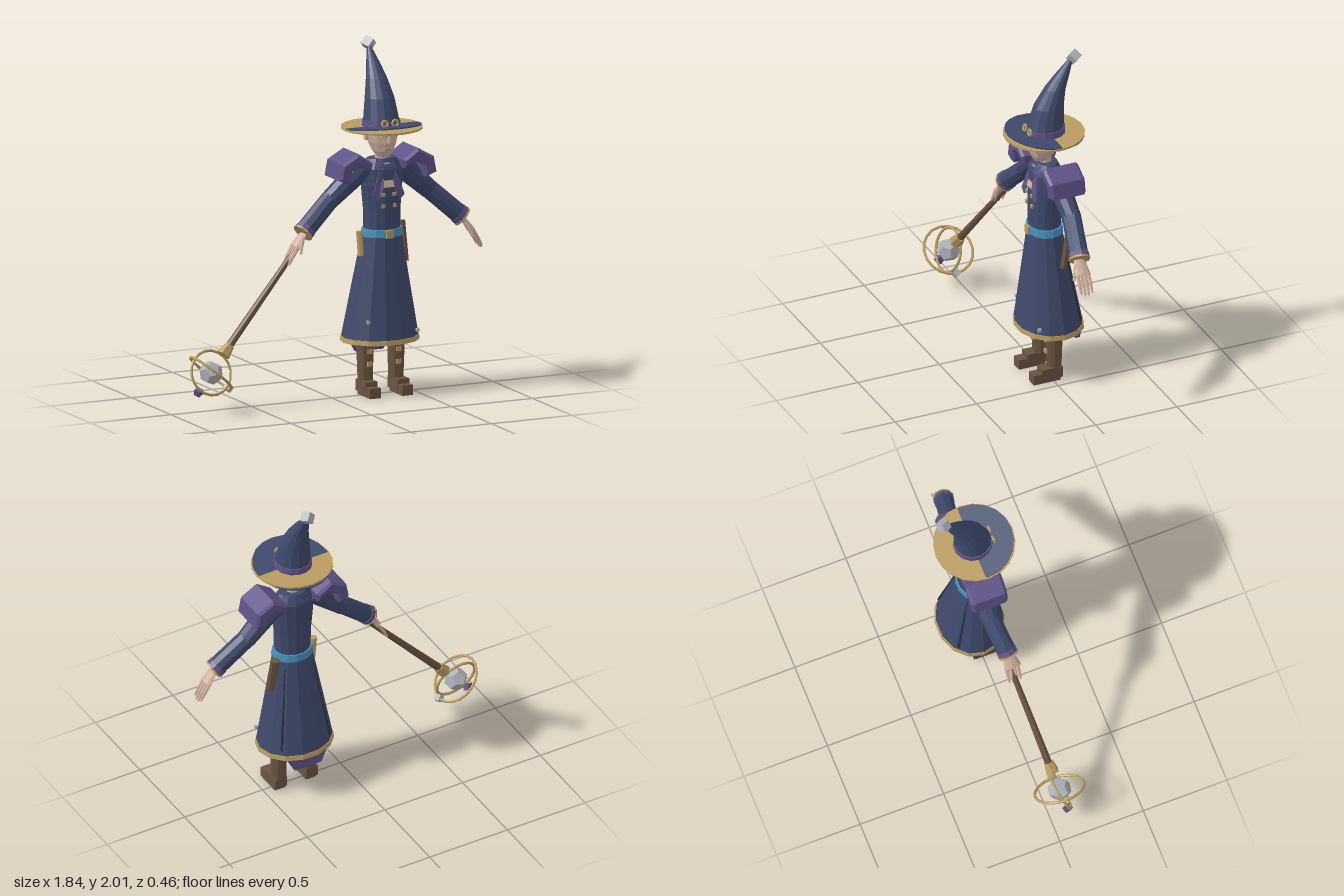
import * as THREE from 'three';

const mat = (name, color) => {
  const m = new THREE.MeshStandardMaterial({ color });
  m.name = name;
  return m;
};
const V = (p) => new THREE.Vector3(...p);

export function createModel() {
  const navy = mat('navy cloth', 0x3f4a6c), dark = mat('dark seam', 0x262b3f);
  const purple = mat('purple cloth', 0x5f5288), gold = mat('gold trim', 0xb99c60);
  const brown = mat('brown leather', 0x6b5442), skin = mat('skin', 0xd0b09f);
  const blue = mat('blue belt', 0x4690bd), grey = mat('grey crystal', 0xadb1b6);
  const white = mat('eye white', 0xdcdce0);

  const model = new THREE.Group();
  const body = new THREE.Group(), staff = new THREE.Group();
  body.name = 'figure';
  staff.name = 'staff';
  body.position.x = 0.31;
  model.add(body, staff);

  // Adds a flat-faceted mesh
  function add(name, geo, material, pos = [0, 0, 0], parent = body) {
    const g = geo.index ? geo.toNonIndexed() : geo;
    g.computeVertexNormals();
    const mesh = new THREE.Mesh(g, material);
    mesh.name = name;
    mesh.position.set(...pos);
    parent.add(mesh);
    return mesh;
  }
  const box = (name, size, pos, m, parent) => add(name, new THREE.BoxGeometry(...size), m, pos, parent);

  // Closed stack of ellipses, each given as [y, rx, rz, centreZ]
  function loft(sections, n = 14) {
    const p = [], idx = [], top = sections.length - 1;
    for (const [y, rx, rz, cz] of sections) {
      for (let i = 0; i < n; i++) {
        const a = ((i + 0.5) / n) * Math.PI * 2;
        p.push(rx * Math.sin(a), y, cz + rz * Math.cos(a));
      }
    }
    for (const s of [sections[0], sections[top]]) p.push(0, s[0], s[3]);
    const c = (top + 1) * n;
    for (let i = 0; i < n; i++) {
      const j = (i + 1) % n;
      for (let k = 0; k < top; k++) {
        const a = k * n + i, b = k * n + j;
        idx.push(a, b, b + n, a, b + n, a + n);
      }
      idx.push(c, j, i, c + 1, top * n + i, top * n + j);
    }
    const g = new THREE.BufferGeometry();
    g.setAttribute('position', new THREE.Float32BufferAttribute(p, 3));
    g.setIndex(idx);
    return g;
  }

  // Tapered cylinder from point a to point b
  function limb(name, a, b, ra, rb, m, sides = 10, flat = 1, parent = body) {
    const d = V(b).sub(V(a));
    const mesh = add(name, new THREE.CylinderGeometry(rb, ra, d.length(), sides), m, [0, 0, 0], parent);
    mesh.position.copy(V(a)).addScaledVector(d, 0.5);
    mesh.quaternion.setFromUnitVectors(new THREE.Vector3(0, 1, 0), d.normalize());
    mesh.scale.x = flat;
    return mesh;
  }

  // Extruded outline whose depth position follows a rule of height
  function panel(name, pts, depth, zAt, m, bevel = 0) {
    const g = new THREE.ExtrudeGeometry(new THREE.Shape(pts.map((q) => new THREE.Vector2(...q))), {
      depth, bevelEnabled: bevel > 0, bevelSize: bevel, bevelThickness: bevel, bevelOffset: -bevel, bevelSegments: 1,
    });
    const p = g.attributes.position;
    for (let i = 0; i < p.count; i++) p.setZ(i, p.getZ(i) + zAt(p.getY(i)));
    return add(name, g, m);
  }

  // Hat
  add('hatCone', loft([[1.525, 0.102, 0.108, -0.008], [1.565, 0.099, 0.105, -0.01], [1.685, 0.082, 0.086, -0.03],
    [1.79, 0.058, 0.06, -0.07], [1.86, 0.039, 0.042, -0.11], [1.945, 0.013, 0.015, -0.162]]), navy);
  add('hatBand', loft([[1.525, 0.108, 0.114, -0.008], [1.563, 0.105, 0.111, -0.01]]), purple);
  const tip = box('hatTipCube', [0.054, 0.054, 0.054], [0.005, 1.962, -0.182], grey);
  tip.rotation.set(0.35, 0.5, 0.7);
  add('brimRing', new THREE.CylinderGeometry(0.23, 0.23, 0.01, 20), gold, [0, 1.52, 0]);
  add('brimCloth', new THREE.CylinderGeometry(0.223, 0.223, 0.008, 20), navy, [0, 1.523, 0]).rotation.x = -0.125;

  // Head
  add('head', loft([[1.355, 0.034, 0.04, 0.02], [1.39, 0.06, 0.068, 0.012], [1.44, 0.082, 0.088, 0.002],
    [1.49, 0.09, 0.092, 0], [1.53, 0.088, 0.09, 0]], 12), skin);
  add('hair', loft([[1.455, 0.088, 0.072, -0.024], [1.525, 0.094, 0.08, -0.024]], 12), brown);
  add('neck', new THREE.CylinderGeometry(0.038, 0.042, 0.09, 10), skin, [0, 1.345, -0.005]);
  const nose = add('nose', new THREE.ConeGeometry(0.021, 0.05, 4), skin, [0, 1.472, 0.092]);
  nose.rotation.x = 0.35;
  box('mouth', [0.036, 0.005, 0.006], [0, 1.402, 0.077], brown);

  // Torso, skirt and belt
  add('torso', loft([[0.92, 0.105, 0.092, -0.003], [1.06, 0.108, 0.093, -0.003], [1.2, 0.122, 0.092, -0.005],
    [1.29, 0.126, 0.088, -0.008], [1.345, 0.085, 0.06, -0.01]]), navy);
  const chestZ = (y) => 0.084 - Math.max(0, y - 1.22) * 0.28;
  panel('chestSkin', [[-0.018, 1.325], [0.018, 1.325], [0.038, 1.19], [-0.038, 1.19]], 0.007, chestZ, skin);
  add('skirt', loft([[0.32, 0.224, 0.189, -0.027], [0.92, 0.115, 0.094, -0.003]]), navy);
  add('skirtHem', loft([[0.303, 0.23, 0.195, -0.028], [0.33, 0.226, 0.191, -0.027]]), gold);
  add('belt', loft([[0.905, 0.123, 0.104, -0.003], [0.948, 0.116, 0.1, -0.003]]), blue);
  box('beltBuckle', [0.046, 0.046, 0.014], [0, 0.925, 0.102], gold);
  panel('coatTail', [[-0.09, 0.5], [0.09, 0.5], [0.12, 0.28], [0.085, 0.215], [-0.085, 0.215], [-0.12, 0.28]],
    0.028, (y) => -0.182 + (y - 0.21) * 0.1, purple);
  limb('scrollCase', [-0.14, 0.8, 0.02], [-0.146, 0.94, 0.01], 0.019, 0.019, gold, 8);
  limb('sheath', [0.165, 0.73, -0.045], [0.157, 0.955, -0.085], 0.022, 0.026, brown, 6);
  box('skirtStud', [0.018, 0.018, 0.018], [-0.135, 0.435, 0.105], grey);
  box('skirtStud', [0.018, 0.018, 0.018], [0.17, 0.365, 0.105], grey);

  // Mirrored parts
  for (const s of [-1, 1]) {
    const P = (x, y, z) => [s * x, y, z];
    box('eye', [0.028, 0.015, 0.006], P(0.032, 1.492, 0.087), white);
    box('iris', [0.013, 0.014, 0.006], P(0.031, 1.492, 0.09), purple);
    box('eyebrow', [0.034, 0.006, 0.008], P(0.033, 1.507, 0.088), brown).rotation.z = s * 0.15;
    box('ear', [0.016, 0.045, 0.026], P(0.093, 1.475, -0.012), skin);
    const goggle = add('hatOrnament', new THREE.TorusGeometry(0.018, 0.007, 6, 8), gold, P(0.032, 1.556, 0.103));
    goggle.rotation.x = -0.2;

    panel('lapel', [[s * 0.016, 1.325], [s * 0.042, 1.32], [s * 0.096, 1.145], [s * 0.068, 1.118], [s * 0.034, 1.19]],
      0.009, chestZ, purple);
    for (const y of [1.15, 1.085]) box('button', [0.02, 0.02, 0.012], P(0.035, y, 0.09), gold);
    limb('skirtSlit', P(0.153, 0.36, -0.153), P(0.089, 0.86, -0.076), 0.009, 0.003, dark, 4);

    panel('shoulderPad', [[s * 0.095, 1.335], [s * 0.185, 1.396], [s * 0.285, 1.34], [s * 0.302, 1.25],
      [s * 0.235, 1.226], [s * 0.222, 1.295], [s * 0.18, 1.32], [s * 0.1, 1.285]], 0.185, () => -0.11, purple, 0.014);

    // Arm and hand
    limb('upperSleeve', P(0.11, 1.3, -0.015), P(0.315, 1.122, -0.028), 0.068, 0.054, navy);
    limb('lowerSleeve', P(0.305, 1.132, -0.028), P(0.488, 0.968, 0.008), 0.054, 0.055, navy);
    limb('cuff', P(0.468, 0.986, 0.004), P(0.49, 0.966, 0.008), 0.058, 0.059, purple);
    limb('cuffTrim', P(0.49, 0.966, 0.008), P(0.498, 0.959, 0.01), 0.061, 0.061, gold);
    limb('palm', P(0.49, 0.962, 0.01), P(0.546, 0.885, 0.012), 0.03, 0.046, skin, 8, 0.45);
    for (let i = 0; i < 4; i++) {
      const z = -0.022 + i * 0.022, end = i % 3 ? 0 : 0.012;
      limb('finger', P(0.54, 0.895, z), P(0.575, 0.838, z), 0.011, 0.01, skin, 6);
      limb('fingertip', P(0.575, 0.84, z), P(0.605 - end * 0.5, 0.782 + end, z), 0.01, 0.006, skin, 6);
    }
    limb('thumb', P(0.508, 0.935, 0.035), P(0.535, 0.855, 0.062), 0.013, 0.008, skin, 6);

    // Leg and boot
    limb('leg', P(0.095, 0.08, -0.018), P(0.097, 0.36, -0.018), 0.043, 0.052, brown);
    box('bootHeel', [0.075, 0.065, 0.125], P(0.1, 0.052, 0.008), brown);
    box('bootSole', [0.066, 0.024, 0.1], P(0.1, 0.012, 0.01), brown);
    box('bootToe', [0.066, 0.058, 0.065], P(0.1, 0.029, 0.09), brown);
    for (const y of [0.25, 0.178]) box('bootBuckle', [0.028, 0.026, 0.012], P(0.09, y, 0.03), gold);
  }

  // Staff
  const hub = [-0.79, 0.235, 0.08];
  limb('staffShaft', [-0.19, 0.915, 0.0], [-0.68, 0.36, 0.063], 0.016, 0.022, brown, 8, 1, staff);
  limb('staffCollar', [-0.665, 0.377, 0.062], [-0.71, 0.326, 0.069], 0.028, 0.04, gold, 6, 1, staff);
  const gem = add('crystal', new THREE.DodecahedronGeometry(0.068), grey, hub, staff);
  gem.rotation.set(0.3, 0.4, 0.6);
  for (const [r, n] of [[0.143, [0.66, 0.75, 0]], [0.126, [0.08, 0.3, 0.95]]]) {
    const ring = add('orbitRing', new THREE.TorusGeometry(r, 0.008, 6, 18), gold, hub, staff);
    ring.quaternion.setFromUnitVectors(new THREE.Vector3(0, 0, 1), V(n).normalize());
  }
  box('orbitCube', [0.036, 0.036, 0.036], [-0.876, 0.135, 0.095], purple, staff).rotation.set(0.4, 0.5, 0.2);
  box('orbitCube', [0.036, 0.036, 0.036], [-0.682, 0.14, 0.08], grey, staff).rotation.set(0.3, 0.4, 0.7);

  return model;
}
